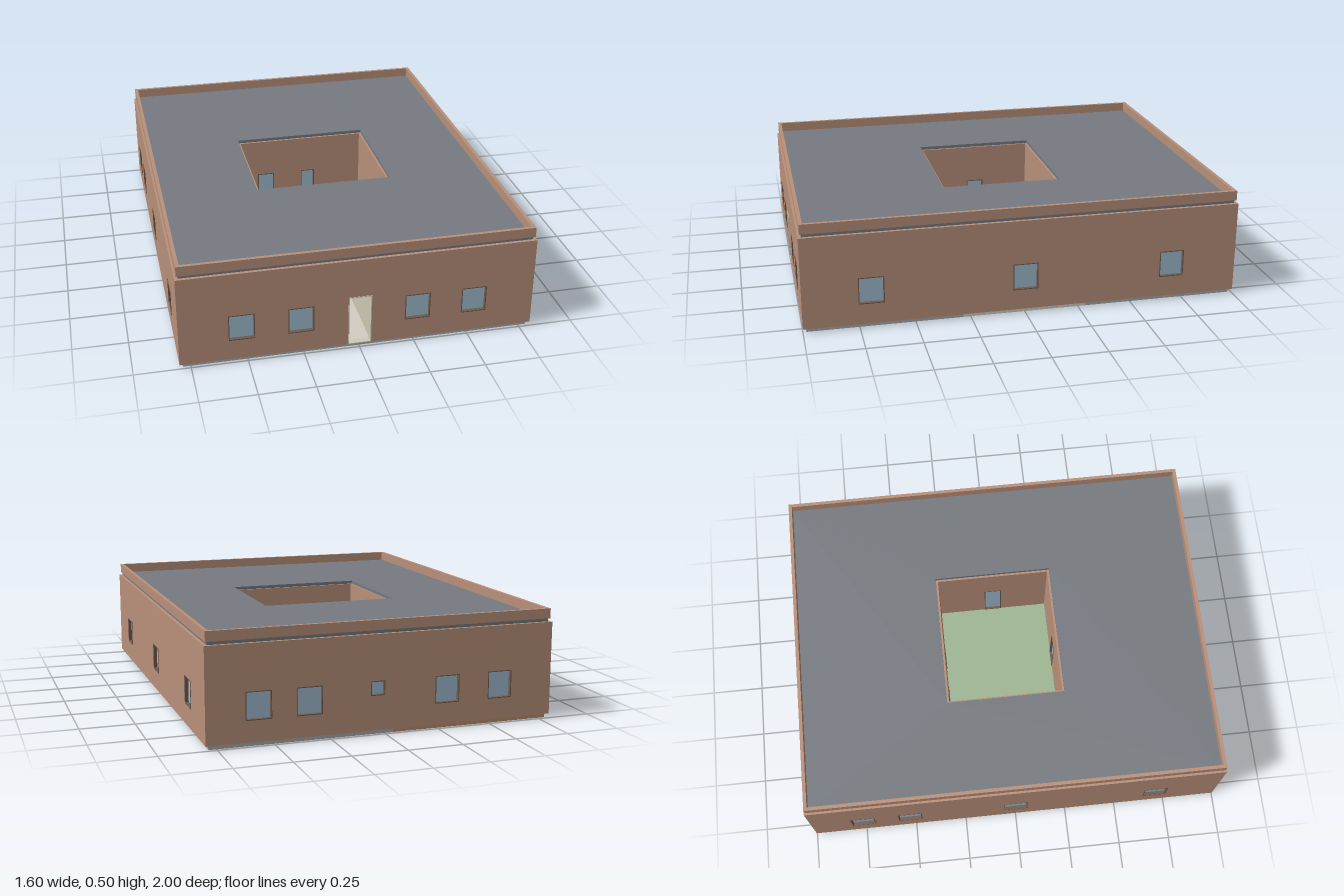
import * as THREE from 'three';

const mat = (color) => new THREE.MeshStandardMaterial({ color });
const WALL = mat(0xb8907a), ROOF = mat(0x767a80), GLASS = mat(0x9fbccf), FRAME = mat(0x6e5a4e);
const GREY = mat(0xa8a8a8), LIGHT = mat(0xd2cec4), BROWN = mat(0xb98d6c), GRASS = mat(0x9db592);
const CREAM = mat(0xcfc8b4);

const BASE = 0.02, WALL_TOP = 0.445, ROOF_TOP = 0.46, PARAPET_TOP = 0.505;

function rect(T, x0, x1, y0, y1) {
  const s = new T();
  s.moveTo(x0, y0).lineTo(x1, y0).lineTo(x1, y1).lineTo(x0, y1).closePath();
  return s;
}

// Box given by its limits
function box(name, material, x0, x1, y0, y1, z0, z1) {
  const m = new THREE.Mesh(new THREE.BoxGeometry(x1 - x0, y1 - y0, z1 - z0), material);
  m.position.set((x0 + x1) / 2, (y0 + y1) / 2, (z0 + z1) / 2);
  m.name = name;
  return m;
}

function extrude(name, shape, depth, material) {
  const m = new THREE.Mesh(new THREE.ExtrudeGeometry(shape, { depth, bevelEnabled: false }), material);
  m.name = name;
  return m;
}

// Horizontal slab with a rectangular hole
function ringSlab(name, material, x, z, holeX, holeZ, y0, y1) {
  const s = rect(THREE.Shape, -x, x, -z, z);
  s.holes.push(rect(THREE.Path, -holeX, holeX, -holeZ, holeZ));
  const m = extrude(name, s, y1 - y0, material);
  m.rotation.x = -Math.PI / 2;
  m.position.y = y0;
  return m;
}

// Wall with its face at distance d along its facing direction; each opening is
// { u: centre, w: width, y0, y1, open }, with u running to the right seen from the face
function wall(name, angle, d, half, thick, openings) {
  const g = new THREE.Group();
  g.name = name;
  const s = rect(THREE.Shape, -half, half, BASE, WALL_TOP);
  for (const { u, w, y0, y1, open } of openings) {
    const a = u - w / 2, b = u + w / 2;
    s.holes.push(rect(THREE.Path, a, b, y0, y1));
    const ring = rect(THREE.Shape, a, b, y0, y1);
    const e = 0.004;
    ring.holes.push(rect(THREE.Path, a + e, b - e, y0 + e, y1 - e));
    const trim = extrude(open ? 'doorFrame' : 'windowFrame', ring, thick + 0.002, open ? CREAM : FRAME);
    trim.position.z = -thick;
    g.add(trim);
    if (!open) g.add(box('glassPane', GLASS, a + e, b - e, y0 + e, y1 - e, -thick * 0.75, -thick * 0.5));
  }
  const body = extrude('wallPanel', s, thick, WALL);
  body.position.z = -thick;
  g.add(body);
  g.rotation.y = angle;
  g.position.set(Math.sin(angle) * d, 0, Math.cos(angle) * d);
  return g;
}

const win = (u, w = 0.115, y0 = 0.115, y1 = 0.24) => ({ u, w, y0, y1 });
const door = (u, w = 0.085, open = false) => ({ u, w, y0: 0.0205, y1: 0.262, open });

export function createModel() {
  const model = new THREE.Group();
  model.name = 'courtyardHouse';

  // Floor slabs: [name, material, x0, x1, z0, z1]
  const floors = [
    ['frontFloor', GREY, -0.785, 0.785, 0.285, 0.985],
    ['backFloor', GREY, -0.045, 0.785, -0.985, -0.285],
    ['backCornerFloor', BROWN, -0.785, -0.045, -0.985, -0.285],
    ['sideFloor', GREY, -0.785, -0.325, -0.285, 0.285],
    ['passageFloor', GREY, 0.325, 0.41, -0.285, 0.285],
    ['sideRoomFloor', LIGHT, 0.41, 0.785, -0.285, 0.285],
    ['courtyardLawn', GRASS, -0.325, 0.325, -0.285, 0.285],
  ];
  for (const [name, m, x0, x1, z0, z1] of floors) model.add(box(name, m, x0, x1, 0, BASE, z0, z1));

  // Outer walls
  const H = Math.PI / 2;
  model.add(
    wall('frontWall', 0, 1, 0.8, 0.03,
      [win(-0.525), win(-0.263), door(0, 0.105, true), win(0.262), win(0.522)]),
    wall('backWall', Math.PI, 1, 0.8, 0.03,
      [win(-0.57), win(-0.345), win(-0.037, 0.065, 0.175, 0.24), win(0.29), win(0.545)]),
    wall('leftWall', H, 0.8, 0.97, 0.03, [win(-0.695), win(0), win(0.69)]),
    wall('rightWall', -H, 0.8, 0.97, 0.03, [win(-0.75), win(-0.52), win(0), win(0.69)]),
  );

  // Courtyard walls, facing inwards
  model.add(
    wall('courtyardFrontWall', Math.PI, -0.275, 0.335, 0.02, [door(0)]),
    wall('courtyardBackWall', 0, -0.275, 0.335, 0.02, [door(-0.185), door(0.037, 0.07)]),
    wall('courtyardLeftWall', -H, -0.315, 0.275, 0.02, [door(0)]),
    wall('courtyardRightWall', H, -0.315, 0.275, 0.02, [door(0)]),
  );

  // Entrance hall running from the front door to the courtyard
  model.add(box('hallFloor', LIGHT, -0.06, 0.06, BASE, BASE + 0.002, 0.295, 0.97));
  for (const s of [-1, 1]) {
    const x = s * 0.06;
    model.add(box('hallWall', CREAM, x - 0.008, x + 0.008, BASE, WALL_TOP, 0.295, 0.97));
  }

  // Flat roof with courtyard opening, and the parapet on its edge
  model.add(ringSlab('roof', ROOF, 0.785, 0.985, 0.325, 0.285, WALL_TOP, ROOF_TOP));
  model.add(ringSlab('parapet', WALL, 0.793, 0.993, 0.777, 0.977, ROOF_TOP, PARAPET_TOP));
  return model;
}
